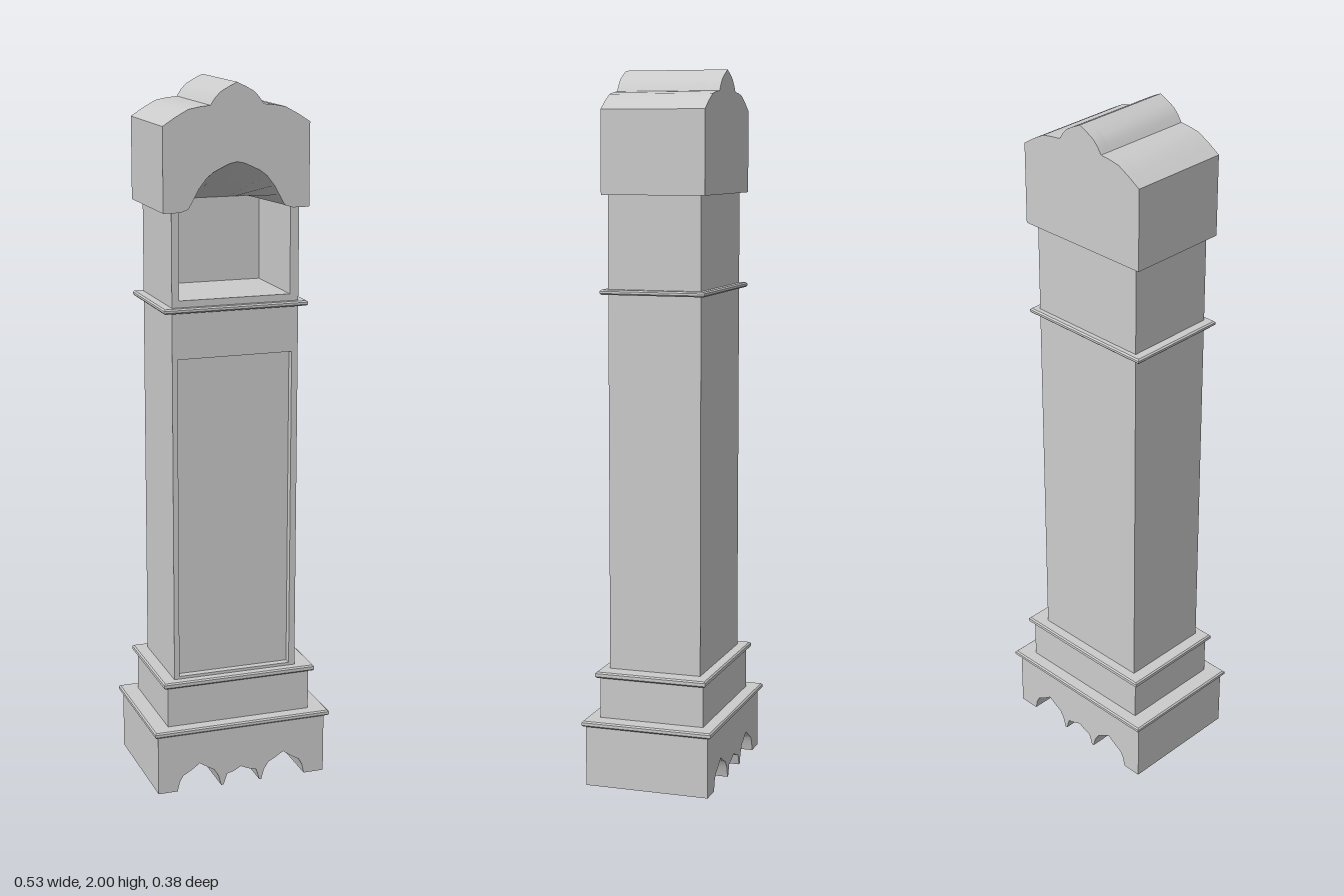
import * as THREE from 'three';
import { toCreasedNormals } from 'three/addons/utils/BufferGeometryUtils.js';

const material = new THREE.MeshStandardMaterial({ color: 0xcccccc });
const thin = new THREE.MeshStandardMaterial({ color: 0xcccccc, side: THREE.DoubleSide });

export function createModel() {
  const model = new THREE.Group();

  const add = (name, geometry, mat = material) => {
    const mesh = new THREE.Mesh(geometry, mat);
    mesh.name = name;
    model.add(mesh);
    return mesh;
  };
  // Box given by its limits on each axis
  const box = (name, x0, x1, y0, y1, z0, z1) =>
    add(name, new THREE.BoxGeometry(x1 - x0, y1 - y0, z1 - z0))
      .position.set((x0 + x1) / 2, (y0 + y1) / 2, (z0 + z1) / 2);
  const toShape = (points) => new THREE.Shape(points.map(([x, y]) => new THREE.Vector2(x, y)));
  const rect = (x0, x1, y0, y1) => [[x0, y0], [x1, y0], [x1, y1], [x0, y1]];
  // Outline in the front plane, extruded between two depths
  const slab = (name, shape, z0, z1) => {
    const g = new THREE.ExtrudeGeometry(shape, { depth: z1 - z0, bevelEnabled: false });
    g.translate(0, 0, z0);
    return add(name, toCreasedNormals(g, 0.5));
  };
  // Moulding strip with a small bevel all round
  const moulding = (name, x0, x1, y0, y1, z0, z1) => {
    const b = 0.004;
    const g = new THREE.ExtrudeGeometry(toShape(rect(x0 + b, x1 - b, -z1 + b, -z0 - b)), {
      depth: y1 - y0 - 2 * b, bevelThickness: b, bevelSize: b, bevelSegments: 1,
    });
    g.rotateX(-Math.PI / 2);
    g.translate(0, y0 + b, 0);
    add(name, g);
  };

  // Base with scalloped grooves running front to back
  slab('scallopedBase', toShape([
    [-0.254, 0], [-0.197, 0], [-0.19, 0.028], [-0.18, 0.046], [-0.155, 0.06], [-0.13, 0.078],
    [-0.105, 0.062], [-0.087, 0.052], [-0.073, 0.03], [-0.065, 0], [-0.058, 0], [-0.047, 0.033],
    [-0.028, 0.038], [-0.005, 0.05], [0.018, 0.04], [0.042, 0.033], [0.052, 0], [0.058, 0],
    [0.066, 0.03], [0.08, 0.052], [0.1, 0.062], [0.125, 0.078], [0.15, 0.06], [0.174, 0.046],
    [0.184, 0.028], [0.19, 0], [0.25, 0], [0.25, 0.175], [-0.254, 0.175],
  ]), -0.178, 0.182);
  moulding('baseMoulding', -0.264, 0.264, 0.174, 0.19, -0.19, 0.19);

  // Plinth
  box('plinth', -0.215, 0.212, 0.19, 0.31, -0.152, 0.152);
  moulding('plinthMoulding', -0.228, 0.227, 0.308, 0.325, -0.163, 0.162);

  // Trunk with a sunken door panel
  box('trunk', -0.19, 0.175, 0.325, 1.39, -0.132, 0.115);
  const frame = toShape(rect(-0.19, 0.175, 0.325, 1.39));
  frame.holes.push(toShape(rect(-0.175, 0.157, 0.333, 1.257)));
  slab('doorFrame', frame, 0.115, 0.136);
  moulding('trunkMoulding', -0.217, 0.198, 1.387, 1.401, -0.149, 0.153);

  // Open dial chamber
  box('chamberFloor', -0.19, 0.175, 1.4, 1.42, -0.132, 0.136);
  const walls = new THREE.ExtrudeGeometry(toShape([
    [-0.19, -0.136], [-0.17, -0.136], [-0.17, 0.115], [0.15, 0.115],
    [0.15, -0.136], [0.175, -0.136], [0.175, 0.132], [-0.19, 0.132],
  ]), { depth: 0.24, bevelEnabled: false });
  walls.rotateX(-Math.PI / 2);
  walls.translate(0, 1.42, 0);
  add('chamberWalls', walls);

  // Hood: roof profile mirrored about its own centre line
  const cx = -0.008, bottom = 1.66, zBack = -0.115, zFront = 0.147;
  const mirrored = (half) => [
    ...half.map(([dx, y]) => [cx - dx, y]),
    ...half.slice(0, -1).reverse().map(([dx, y]) => [cx + dx, y]),
  ];
  const roof = mirrored([
    [0.208, 1.89], [0.172, 1.913], [0.137, 1.932], [0.105, 1.938], [0.075, 1.941],
    [0.063, 1.959], [0.048, 1.975], [0.025, 1.988], [0, 2],
  ]);
  const arch = mirrored([
    [0.16, bottom], [0.137, 1.668], [0.122, 1.695], [0.107, 1.722], [0.085, 1.75],
    [0.065, 1.765], [0.04, 1.777], [0.02, 1.786], [0, 1.79],
  ]);
  const ends = [[cx - 0.208, bottom], [cx + 0.208, bottom]];
  slab('hoodFront', toShape([ends[0], ...arch, ends[1], ...[...roof].reverse()]), zBack, zFront);
  slab('hoodBack', toShape([...ends, ...[...roof].reverse()]), -0.15, zBack);

  // Ceiling sloping from the front arch down to the chamber back
  const positions = [], index = [];
  arch.forEach(([x, y], i) => {
    positions.push(x, y, zFront, x, bottom, zBack);
    if (i) {
      const a = 2 * i - 2;
      index.push(a, a + 1, a + 2, a + 1, a + 3, a + 2);
    }
  });
  const ceiling = new THREE.BufferGeometry();
  ceiling.setAttribute('position', new THREE.Float32BufferAttribute(positions, 3));
  ceiling.setIndex(index);
  ceiling.computeVertexNormals();
  add('archCeiling', ceiling, thin);

  return model;
}
